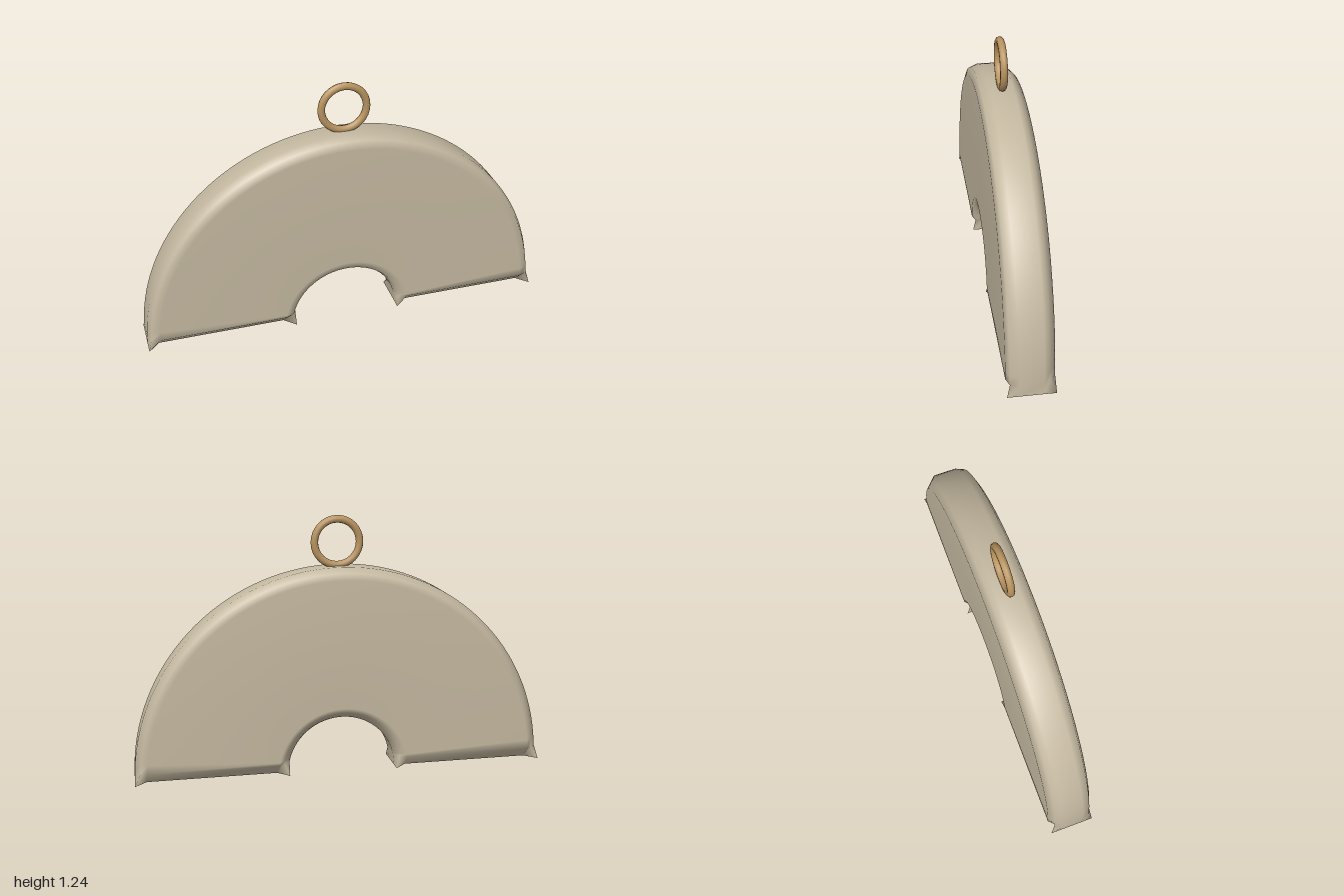
import * as THREE from 'three';

const OUTER = 1, INNER = 0.265, HALF = 0.11, BEVEL = 0.055, STEPS = 64;

// Cross-section of the arch as [radius, z], running from the outer rim over the front and back
const section = [
  [OUTER, HALF - BEVEL], [OUTER - 0.016, 0.095], [OUTER - BEVEL, HALF],
  [INNER + BEVEL, HALF], [INNER + 0.016, 0.095], [INNER, HALF - BEVEL],
  [INNER, BEVEL - HALF], [INNER + 0.027, -0.083], [INNER + BEVEL, -HALF],
  [OUTER - BEVEL, -HALF], [OUTER - 0.027, -0.083], [OUTER, BEVEL - HALF],
];

// Outline of a foot: the bevels pinch out into sharp flared corners
const half = HALF - BEVEL;
const foot = [
  [OUTER, half], [OUTER, HALF], [OUTER - BEVEL, half],
  [INNER + BEVEL, half], [INNER, HALF], [INNER, half],
  [INNER, -half], [INNER, -HALF], [INNER + BEVEL, -half],
  [OUTER - BEVEL, -half], [OUTER, -HALF], [OUTER, -half],
];

// Sections swept from the +x foot over the top to the -x foot
function archGeometry() {
  const points = [], index = [], n = section.length;
  foot.forEach(([x, z]) => points.push(x, 0, z));
  for (let i = 0; i <= STEPS; i++) {
    for (const [r, z] of section) {
      const start = Math.asin(BEVEL / r);
      const a = start + (Math.PI - 2 * start) * i / STEPS;
      points.push(r * Math.cos(a), r * Math.sin(a), z);
    }
  }
  foot.forEach(([x, z]) => points.push(-x, 0, z));
  for (let i = 0; i < STEPS + 2; i++) {
    for (let j = 0; j < n; j++) {
      const k = (j + 1) % n;
      const a = i * n + j, b = i * n + k, c = a + n, d = b + n;
      index.push(a, c, b, b, c, d);
    }
  }
  const geometry = new THREE.BufferGeometry();
  geometry.setAttribute('position', new THREE.Float32BufferAttribute(points, 3));
  geometry.setIndex(index);
  geometry.computeVertexNormals();
  return geometry;
}

export function createModel() {
  const clay = new THREE.MeshStandardMaterial({ color: 0xc4b8a0 });
  clay.name = 'pale clay';
  const brass = new THREE.MeshStandardMaterial({ color: 0xb8935f });
  brass.name = 'brass';

  const model = new THREE.Group();
  model.name = 'archPendant';
  const add = (name, geometry, material) => {
    const mesh = new THREE.Mesh(geometry, material);
    mesh.name = name;
    model.add(mesh);
    return mesh;
  };

  add('archBody', archGeometry(), clay);

  // Flat undersides of the two feet
  for (const [name, side] of [['leftFoot', 1], ['rightFoot', -1]]) {
    const shape = new THREE.Shape(foot.map(([x, z]) => new THREE.Vector2(side * x, z)));
    add(name, new THREE.ShapeGeometry(shape).rotateX(Math.PI / 2), clay);
  }

  // Hanging ring standing on the crown
  const ring = add('hangingRing', new THREE.TorusGeometry(0.109, 0.018, 10, 32), brass);
  ring.position.set(0.012, 1.113, 0);

  return model;
}
